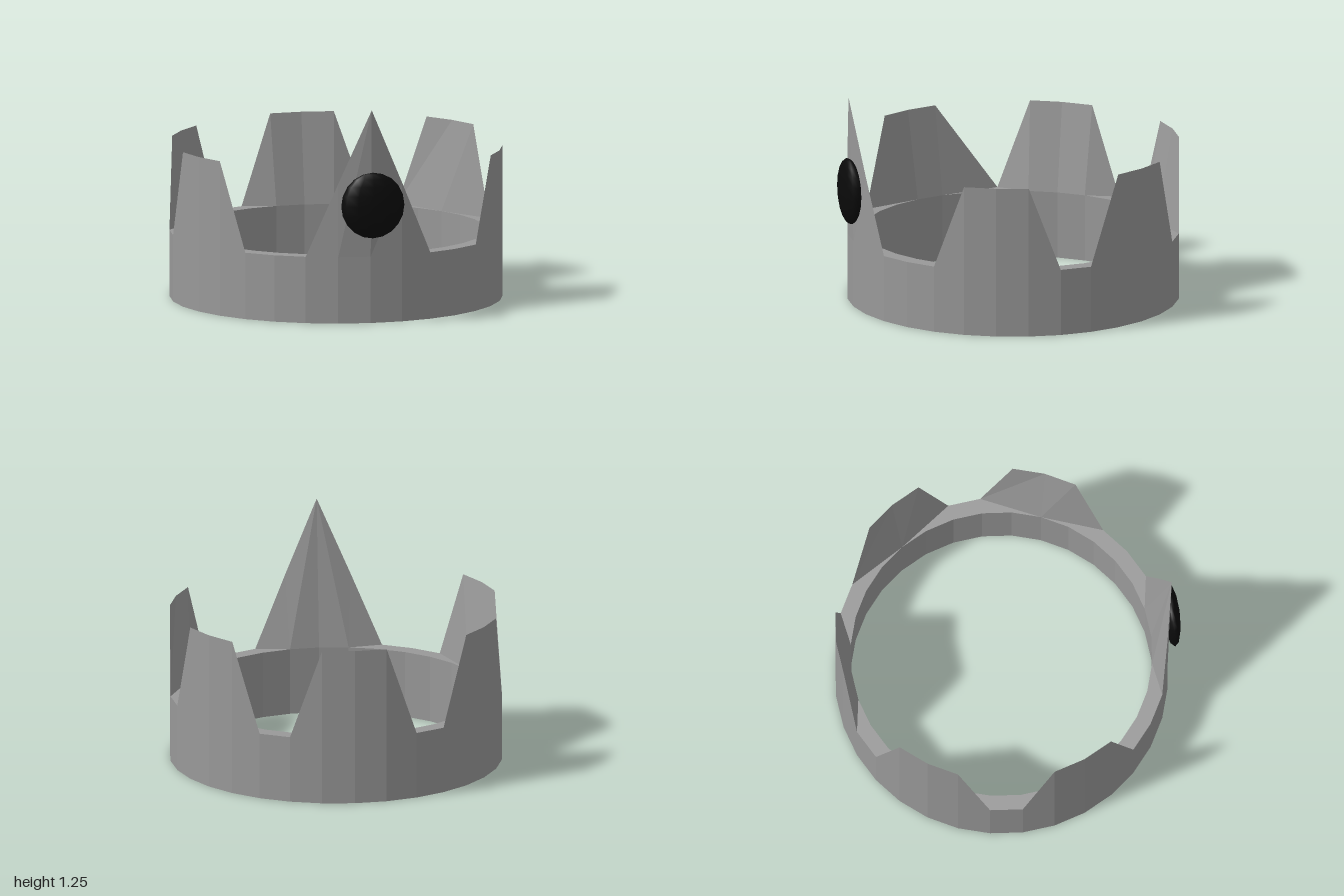
import * as THREE from 'three';

const SIDES = 32, R_OUT = 0.965, R_IN = 0.875, RIM = 0.39, CENTRE_Z = -0.035;

// Each spike: outer base corners a and b, inner base corners, and its top points [step, height]
const SPIKES = [
  { a: -3, b: 1, inner: [-2, 0], tops: [[-2, 0.82], [-1, 1.255], [0, 0.82]] },
  { a: 3, b: 7, inner: [5, 5], tops: [[4, 0.885], [5, 0.885], [6, 0.885]] },
  { a: 8, b: 12, inner: [10, 10], tops: [[9, 0.915], [10, 0.915], [11, 0.915]] },
  { a: 13, b: 17, inner: [14, 16], tops: [[14, 0.92], [15, 0.92], [16, 0.92]] },
  { a: 18, b: 22, inner: [19, 21], tops: [[19, 0.91], [20, 0.91], [21, 0.91]] },
  { a: 22, b: 27, inner: [24, 25], tops: [[24, 0.908], [25, 0.908], [26, 0.908]] },
];

// Point on the ring, counted in steps from the front towards +x
function ringPoint(step, radius, y) {
  const t = (step / SIDES) * Math.PI * 2;
  return [Math.sin(t) * radius, y, Math.cos(t) * radius];
}

function outerTop(step, y) {
  return ringPoint(step, y > 1 ? R_OUT + 0.03 : R_OUT, y);
}

function meshFrom(triangles, name, material) {
  const geometry = new THREE.BufferGeometry();
  geometry.setAttribute('position', new THREE.Float32BufferAttribute(triangles.flat(2), 3));
  geometry.computeVertexNormals();
  const mesh = new THREE.Mesh(geometry, material);
  mesh.name = name;
  return mesh;
}

const quad = (a, b, c, d) => [[a, b, c], [a, c, d]];

export function createModel() {
  const model = new THREE.Group();
  model.name = 'crown';
  const metal = new THREE.MeshStandardMaterial({ color: 0x999999 });
  metal.name = 'grey metal';
  const black = new THREE.MeshStandardMaterial({ color: 0x0a0a0a });
  black.name = 'black gem';

  const heights = new Array(SIDES).fill(RIM);
  for (const { tops } of SPIKES) {
    for (const [step, y] of tops) heights[(step + SIDES) % SIDES] = y;
  }

  // Outer wall with the spikes, inner wall, rim and underside
  const outer = [], inner = [], rim = [], underside = [];
  for (let k = 0; k < SIDES; k++) {
    const n = k + 1;
    const o0 = ringPoint(k, R_OUT, 0), o1 = ringPoint(n, R_OUT, 0);
    const i0 = ringPoint(k, R_IN, 0), i1 = ringPoint(n, R_IN, 0);
    const I0 = ringPoint(k, R_IN, RIM), I1 = ringPoint(n, R_IN, RIM);
    const O0 = ringPoint(k, R_OUT, RIM), O1 = ringPoint(n, R_OUT, RIM);
    outer.push(...quad(o0, o1, O1, O0));
    const T0 = outerTop(k, heights[k]), T1 = outerTop(n, heights[n % SIDES]);
    if (heights[n % SIDES] > RIM) outer.push([O0, O1, T1]);
    if (heights[k] > RIM) outer.push(heights[n % SIDES] > RIM ? [O0, T1, T0] : [O0, O1, T0]);
    inner.push(...quad(i1, i0, I0, I1));
    rim.push(...quad(O0, O1, I1, I0));
    underside.push(...quad(i0, i1, o1, o0));
  }
  model.add(meshFrom(outer, 'outerWall', metal));
  model.add(meshFrom(inner, 'innerWall', metal));
  model.add(meshFrom(rim, 'rim', metal));
  model.add(meshFrom(underside, 'underside', metal));

  // Sloping backs of the spikes, from the inner rim out to the thin top edge
  for (const { a, b, inner: [first, last], tops } of SPIKES) {
    const base = [ringPoint(a, R_OUT, RIM)];
    for (let k = first; k <= last; k++) base.push(ringPoint(k, R_IN, RIM));
    base.push(ringPoint(b, R_OUT, RIM));
    const top = tops.map(([step, y]) => outerTop(step, y));
    const faces = [];
    let i = 0, j = 0;
    while (i < base.length - 1 || j < top.length - 1) {
      const moveBase = j === top.length - 1 ||
        (i < base.length - 1 && (i + 0.5) / (base.length - 1) <= (j + 0.5) / (top.length - 1));
      if (moveBase) {
        faces.push([base[i], top[j], base[i + 1]]);
        i++;
      } else {
        faces.push([base[i], top[j], top[j + 1]]);
        j++;
      }
    }
    model.add(meshFrom(faces, 'spikeBack', metal));
  }
  model.children.forEach((mesh) => { mesh.position.z = CENTRE_Z; });

  // Flattened round gem on the tall front spike
  const gem = new THREE.Mesh(new THREE.SphereGeometry(1, 12, 10), black);
  gem.name = 'gem';
  gem.scale.set(0.187, 0.193, 0.05);
  gem.position.set(-0.187, 0.695, 0.94);
  gem.rotation.y = -Math.PI / 16;
  model.add(gem);

  return model;
}
